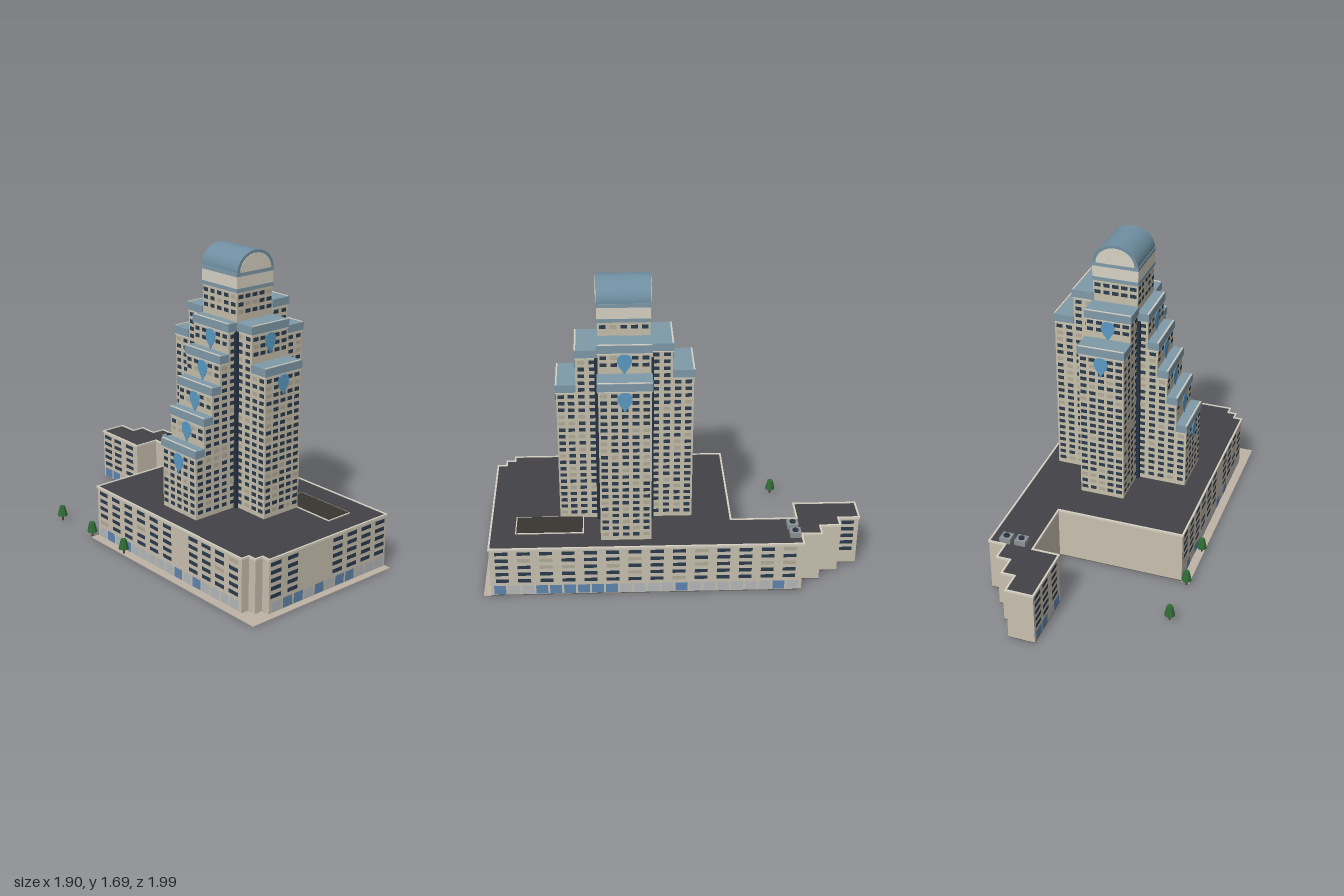
import * as THREE from 'three';
import { mergeGeometries } from 'three/addons/utils/BufferGeometryUtils.js';

const mat = (color, extra = {}) => new THREE.MeshStandardMaterial({ color, ...extra });
const M = {
  wall: mat(0xc9c1b0), tower: mat(0xc6bfab), cream: mat(0xd8d2c4), walk: mat(0xbdb4a6), roof: mat(0x434247),
  under: mat(0x5f5b52), glassRoof: mat(0x7f9aa9), vault: mat(0x6f8fa1), navy: mat(0x2b3b4e),
  pale: mat(0xb3ab99), blue: mat(0x5f86b0), shop: mat(0xb5b9bc), drop: mat(0x5a9ac4), shaft: mat(0x263242),
  hatch: mat(0x39352f), metal: mat(0x8b9196), leaf: mat(0x2f6b35, { flatShading: true }), trunk: mat(0x5a4330),
};

// The building is laid out square, then turned 45 degrees: +Z is the front-left face, +X the front-right face.
const FRONT = 0, RIGHT = Math.PI / 2, BACK = Math.PI, LEFT = -Math.PI / 2;
const outline = [
  [-0.48, 0.48], [-0.48, -0.219], [-0.845, -0.219], [-0.845, -0.073], [-1.19, -0.073], [-1.19, -0.219],
  [-1.073, -0.219], [-1.073, -0.292], [-0.962, -0.292], [-0.962, -0.367], [-0.852, -0.367], [-0.852, -0.46],
  [0.832, -0.46], [0.832, 0.385], [0.783, 0.385], [0.783, 0.433], [0.735, 0.433], [0.735, 0.48],
];
const core = { x0: -0.038, x1: 0.234, z0: -0.168, z1: 0.077 };
const cx = (core.x0 + core.x1) / 2, cz = (core.z0 + core.z1) / 2;

function add(parent, name, geo, material) {
  const m = new THREE.Mesh(geo, material);
  m.name = name;
  parent.add(m);
  return m;
}
function block(parent, name, x0, x1, y0, y1, z0, z1, material) {
  const g = new THREE.BoxGeometry(x1 - x0, y1 - y0, z1 - z0);
  g.translate((x0 + x1) / 2, (y0 + y1) / 2, (z0 + z1) / 2);
  return add(parent, name, g, material);
}
function slab(parent, name, points, y0, y1, material) {
  const shape = new THREE.Shape(points.map(([x, z]) => new THREE.Vector2(x, -z)));
  const g = new THREE.ExtrudeGeometry(shape, { depth: y1 - y0, bevelEnabled: false });
  return add(parent, name, g.rotateX(-Math.PI / 2).translate(0, y0, 0), material);
}

// Moves a flat piece onto a wall: t runs along the wall, d is the wall's coordinate on its own axis
function onWall(geo, side, t, y, d) {
  geo.rotateY(side);
  const out = d + (side === FRONT || side === RIGHT ? 0.002 : -0.002);
  return side === FRONT || side === BACK ? geo.translate(t, y, out) : geo.translate(out, y, t);
}
let seed = 7;
const rand = () => (seed = (seed * 16807) % 2147483647) / 2147483647;
const panes = {};
function pane(kind, side, t, y, d, w, h) {
  (panes[kind] ??= []).push(onWall(new THREE.PlaneGeometry(w, h), side, t, y, d));
}

// Evenly spaced tower windows on the part of a wall between t0..t1 and y0..y1
function towerWindows(side, t0, t1, d, y0, y1) {
  const n = Math.max(1, Math.round((t1 - t0) / 0.054)), pitch = (t1 - t0) / n;
  for (let y = 0.34; y < y1 - 0.012; y += 0.04) {
    if (y < y0 + 0.012) continue;
    for (let i = 0; i < n; i++)
      pane(rand() < 0.14 ? 'pale' : 'navy', side, t0 + (i + 0.5) * pitch, y, d, 0.034, 0.021);
  }
}
function podiumWindows(side, columns, d) {
  for (const t of columns) for (let r = 0; r < 5; r++)
    pane(rand() < 0.12 ? 'pale' : 'navy', side, t, 0.096 + r * 0.044, d, 0.07, 0.022);
}
function shopfront(side, t0, t1, d) {
  const n = Math.round((t1 - t0) / 0.075), pitch = (t1 - t0) / n;
  for (let i = 0; i < n; i++)
    pane(rand() < 0.33 ? 'blue' : 'shop', side, t0 + (i + 0.5) * pitch, 0.036, d, pitch * 0.85, 0.056);
}
const series = (from, step, n) => Array.from({ length: n }, (_, i) => from + i * step);

function buildPodium(b) {
  slab(b, 'foundation', outline, 0, 0.004, M.under);
  slab(b, 'podium', outline, 0.004, 0.3, M.wall);
  slab(b, 'podiumRoof', outline, 0.298, 0.302, M.roof);
  outline.forEach(([x, z], i) => {
    const [x2, z2] = outline[(i + 1) % outline.length], e = 0.005;
    block(b, 'parapet', Math.min(x, x2) - e, Math.max(x, x2) + e, 0.295, 0.306,
      Math.min(z, z2) - e, Math.max(z, z2) + e, M.cream);
  });
  block(b, 'sidewalk', -0.49, 0.873, 0, 0.004, 0.48, 0.527, M.walk);
  block(b, 'sidewalk', 0.832, 0.873, 0, 0.004, -0.463, 0.48, M.walk);
  block(b, 'sidewalkCorner', 0.735, 0.832, 0, 0.0035, 0.385, 0.48, M.walk);

  podiumWindows(FRONT, [...series(-0.42, 0.113, 6), ...series(0.36, 0.105, 4)], 0.48);
  podiumWindows(RIGHT, [0.34, 0.225, ...series(-0.41, 0.105, 4)], 0.832);
  podiumWindows(BACK, series(-0.78, 0.119, 14), -0.46);
  podiumWindows(FRONT, [-1.14, -1.04, -0.92], -0.073);
  podiumWindows(BACK, [-1.13], -0.219);
  shopfront(FRONT, -0.47, 0.72, 0.48);
  shopfront(RIGHT, -0.45, 0.37, 0.832);
  shopfront(BACK, -0.84, 0.82, -0.46);
  shopfront(FRONT, -1.18, -0.86, -0.073);

  // Roof hatch and fan units
  block(b, 'roofHatchFrame', 0.326, 0.697, 0.3, 0.307, -0.324, -0.163, M.cream);
  block(b, 'roofHatch', 0.332, 0.691, 0.3, 0.309, -0.318, -0.169, M.hatch);
  for (const [x, z] of [[-0.81, -0.293], [-0.815, -0.375]]) {
    block(b, 'fanUnit', x - 0.03, x + 0.03, 0.302, 0.33, z - 0.03, z + 0.03, M.metal);
    add(b, 'fan', new THREE.CylinderGeometry(0.016, 0.016, 0.008, 16).translate(x, 0.334, z), M.shaft);
  }
}

// Upside-down teardrop ornament hanging below a terrace
function dropGeometry() {
  const s = new THREE.Shape();
  s.moveTo(0, -0.115);
  s.bezierCurveTo(-0.01, -0.085, -0.038, -0.07, -0.038, -0.038);
  s.bezierCurveTo(-0.038, -0.012, -0.022, 0, 0, 0);
  s.bezierCurveTo(0.022, 0, 0.038, -0.012, 0.038, -0.038);
  s.bezierCurveTo(0.038, -0.07, 0.01, -0.085, 0, -0.115);
  return new THREE.ExtrudeGeometry(s, { depth: 0.003, bevelEnabled: false, curveSegments: 6 });
}

// A stepped wing of the tower; steps run from the core outward as [end coordinate, top]
function buildArm(b, side, steps) {
  const alongZ = side === FRONT || side === BACK;
  const sign = side === FRONT || side === RIGHT ? 1 : -1;
  const [t0, t1] = alongZ ? [core.x0, core.x1] : [core.z0, core.z1];
  let inner = alongZ ? (sign > 0 ? core.z1 : core.z0) : (sign > 0 ? core.x1 : core.x0);
  const put = (name, a, c, y0, y1, o, m) => {
    const lo = Math.min(a, c), hi = Math.max(a, c);
    return alongZ ? block(b, name, t0 - o, t1 + o, y0, y1, lo, hi, m)
      : block(b, name, lo, hi, y0, y1, t0 - o, t1 + o, m);
  };
  steps.forEach(([end, top], i) => {
    put('towerWing', inner, end, 0.3, top - 0.045, 0, M.tower);
    put('terraceLedge', inner, end + sign * 0.004, top - 0.05, top - 0.043, 0.004, M.cream);
    put('terraceRoof', inner, end + sign * 0.007, top - 0.043, top, 0.007, M.glassRoof);
    put('terraceRidge', end - sign * 0.004, end + sign * 0.004, top - 0.002, top + 0.003, 0.002, M.cream);
    const below = steps[i + 1] ? steps[i + 1][1] : 0.3;
    towerWindows(side, t0, t1, end, below, top - 0.05);
    const [w0, w1] = [Math.min(inner, end), Math.max(inner, end)];
    towerWindows(alongZ ? RIGHT : FRONT, w0, w1, t1, 0.3, top - 0.05);
    towerWindows(alongZ ? LEFT : BACK, w0, w1, t0, 0.3, top - 0.05);
    add(b, 'teardrop', onWall(dropGeometry(), side, (t0 + t1) / 2, top - 0.05, end + sign * 0.002), M.drop);
    inner = end;
  });
}

function buildTower(b) {
  const { x0, x1, z0, z1 } = core;
  block(b, 'towerCore', x0, x1, 0.3, 1.485, z0, z1, M.tower);
  towerWindows(FRONT, x0, x1, z1, 1.33, 1.48);
  towerWindows(BACK, x0, x1, z0, 1.41, 1.48);
  towerWindows(RIGHT, z0, z1, x1, 1.33, 1.48);
  towerWindows(LEFT, z0, z1, x0, 1.37, 1.48);
  buildArm(b, FRONT, [[0.135, 1.33], [0.19, 1.17], [0.245, 1.01], [0.3, 0.855], [0.357, 0.69]]);
  buildArm(b, RIGHT, [[0.352, 1.33], [0.455, 1.13]]);
  buildArm(b, BACK, [[-0.28, 1.41], [-0.39, 1.25]]);
  buildArm(b, LEFT, [[-0.155, 1.365], [-0.267, 1.21]]);
  // Dark shafts in the inner corners
  for (const x of [x0, x1]) for (const z of [z0, z1])
    block(b, 'cornerShaft', x - 0.018, x + 0.018, 0.3, 1.285, z - 0.018, z + 0.018, M.shaft);

  // Crown: banded block under a barrel vault
  const ring = (name, y0, y1, o, m) => block(b, name, x0 - o, x1 + o, y0, y1, z0 - o, z1 + o, m);
  ring('crownLowerBand', 1.485, 1.505, 0.005, M.glassRoof);
  ring('crown', 1.505, 1.567, 0.003, M.cream);
  ring('crownUpperBand', 1.567, 1.587, 0.005, M.glassRoof);
  const arch = (name, rz, ry, length, m) => {
    const s = new THREE.Shape();
    s.absellipse(0, 0, rz, ry, 0, Math.PI);
    const g = new THREE.ExtrudeGeometry(s, { depth: length, bevelEnabled: false, curveSegments: 16 });
    add(b, name, g.translate(0, 0, -length / 2).rotateY(Math.PI / 2).translate(cx, 1.587, cz), m);
  };
  const len = x1 - x0 + 0.01;
  arch('barrelVault', 0.124, 0.106, len, M.vault);
  arch('vaultEndPanels', 0.106, 0.091, len + 0.006, M.cream);
}

export function createModel() {
  const model = new THREE.Group();
  model.name = 'towerBlock';
  seed = 7;
  for (const k of Object.keys(panes)) delete panes[k];
  const building = new THREE.Group();
  building.name = 'building';
  building.rotation.y = -Math.PI / 4;
  model.add(building);
  buildPodium(building);
  buildTower(building);
  const names = { navy: 'windows', pale: 'blindWindows', blue: 'shopGlass', shop: 'shopPanels' };
  for (const k of Object.keys(panes)) add(building, names[k], mergeGeometries(panes[k]), M[k]);

  // Street trees
  for (const [x, z] of [[-0.925, -0.2], [-0.715, 0.01], [-0.505, 0.22]]) {
    const tree = new THREE.Group();
    tree.name = 'tree';
    tree.position.set(x, 0, z);
    add(tree, 'trunk', new THREE.CylinderGeometry(0.006, 0.006, 0.04, 6).translate(0, 0.02, 0), M.trunk);
    add(tree, 'foliage', new THREE.CylinderGeometry(0.016, 0.029, 0.056, 8).translate(0, 0.06, 0), M.leaf);
    model.add(tree);
  }
  return model;
}
